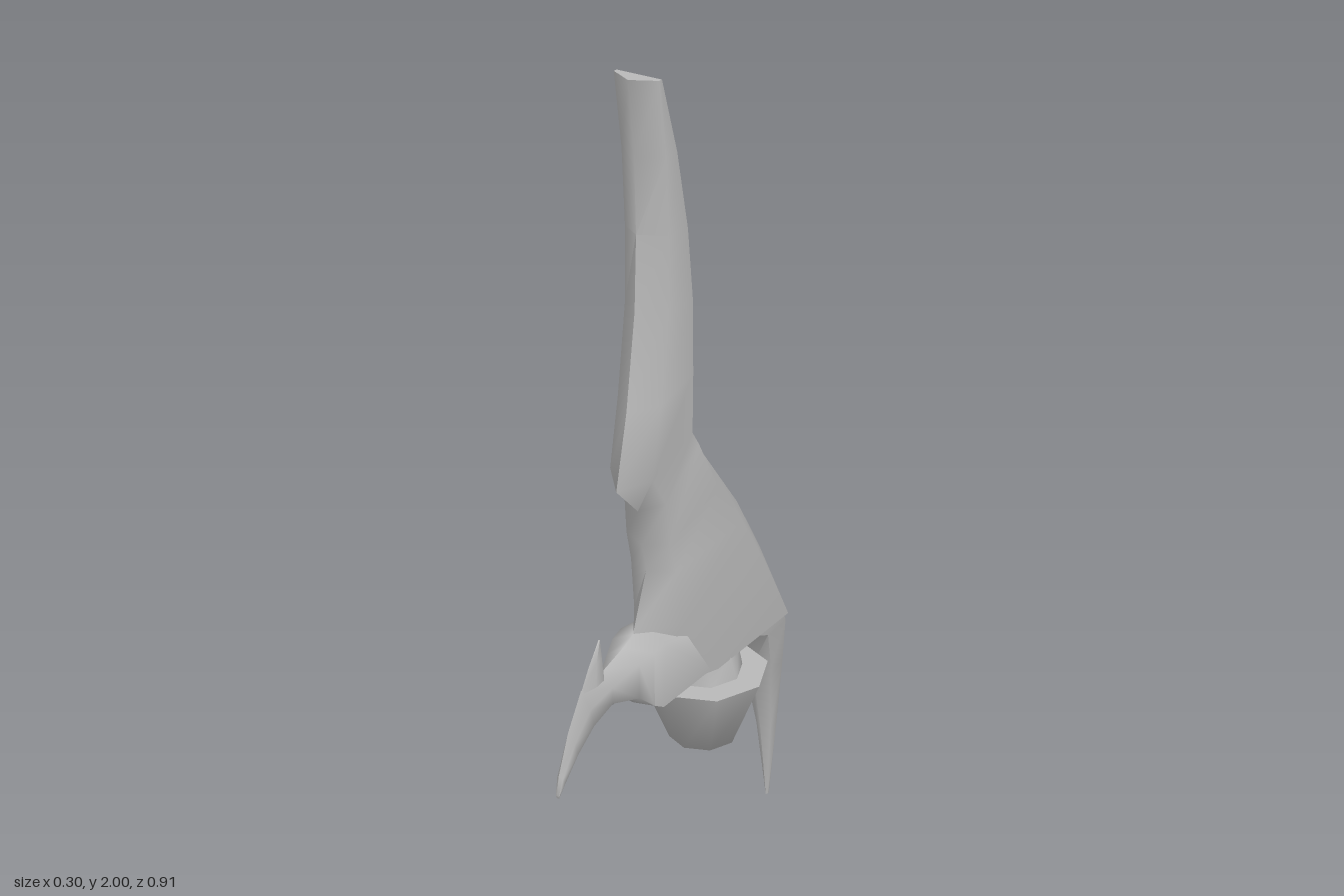
import * as THREE from 'three';
import { toCreasedNormals } from 'three/addons/utils/BufferGeometryUtils.js';

const steel = new THREE.MeshStandardMaterial({ color: 0xb8b8b8 });
steel.name = 'grey metal';

// Smooth shading, with only the sharpest edges kept crisp
function part(name, geometry) {
  const mesh = new THREE.Mesh(toCreasedNormals(geometry, 1.25), steel);
  mesh.name = name;
  return mesh;
}

// Loft of six-sided blade sections.
// Each section: [front z, front y, back z, back y, half width, front bevel, back bevel]
function blade(name, sections) {
  const pos = [], index = [], n = 6;
  for (const [fz, fy, bz, by, w, f, b] of sections) {
    const len = Math.hypot(bz - fz, by - fy);
    const at = (x, d) => pos.push(x, fy + (by - fy) * d / len, fz + (bz - fz) * d / len);
    at(0, 0);
    at(w, f);
    at(w, len - b);
    at(0, len);
    at(-w, len - b);
    at(-w, f);
  }
  const last = (sections.length - 1) * n;
  for (let k = 0; k < last; k += n) {
    for (let j = 0; j < n; j++) {
      const a = k + j, b = k + (j + 1) % n;
      index.push(a, a + n, b, b, a + n, b + n);
    }
  }
  for (let j = 1; j < n - 1; j++) {
    index.push(0, j, j + 1, last, last + j + 1, last + j);
  }
  const g = new THREE.BufferGeometry();
  g.setAttribute('position', new THREE.Float32BufferAttribute(pos, 3));
  g.setIndex(index);
  return part(name, g);
}

export function createModel() {
  const model = new THREE.Group();
  model.name = 'bladedHead';

  // Tall curved horn running down into the broad body
  model.add(blade('hornAndBody', [
    [0.165, 2.00, 0.125, 2.00, 0.055, 0.030, 0],
    [0.145, 1.83, 0.070, 1.83, 0.055, 0.035, 0],
    [0.140, 1.66, 0.030, 1.65, 0.055, 0.040, 0],
    [0.147, 1.49, 0.010, 1.48, 0.055, 0.045, 0],
    [0.180, 1.27, 0.008, 1.31, 0.055, 0.050, 0],
    [0.220, 1.10, 0.010, 1.17, 0.055, 0.060, 0],
    [0.140, 1.02, -0.040, 1.15, 0.055, 0.035, 0.03],
    [0.125, 0.93, -0.150, 1.01, 0.057, 0.025, 0.06],
    [0.110, 0.86, -0.260, 0.87, 0.060, 0.030, 0.07],
    [0.160, 0.73, -0.360, 0.71, 0.066, 0.100, 0.075],
    [0.130, 0.545, -0.447, 0.55, 0.074, 0.200, 0.075],
  ]));

  // Rear spike curving down to the ground
  model.add(blade('rearSpike', [
    [-0.200, 0.560, -0.425, 0.580, 0.066, 0.01, 0.070],
    [-0.280, 0.520, -0.447, 0.530, 0.064, 0.02, 0.070],
    [-0.335, 0.400, -0.455, 0.380, 0.040, 0.02, 0.050],
    [-0.375, 0.210, -0.446, 0.200, 0.020, 0.015, 0.030],
    [-0.406, 0.000, -0.420, 0.000, 0.003, 0.004, 0.005],
  ]));

  // Front beak, rooted inside the body and tapering forward and down
  model.add(blade('beak', [
    [-0.060, 0.720, -0.060, 0.548, 0.068, 0.06, 0.005],
    [0.120, 0.732, 0.130, 0.538, 0.060, 0.03, 0.005],
    [0.160, 0.725, 0.160, 0.550, 0.056, 0.03, 0.010],
    [0.200, 0.710, 0.200, 0.580, 0.043, 0.03, 0.015],
    [0.275, 0.690, 0.270, 0.590, 0.021, 0.04, 0.020],
    [0.360, 0.680, 0.330, 0.565, 0.016, 0.05, 0.020],
    [0.410, 0.600, 0.385, 0.525, 0.012, 0.03, 0.015],
    [0.447, 0.510, 0.430, 0.480, 0.008, 0.01, 0.008],
    [0.455, 0.465, 0.451, 0.455, 0.004, 0.003, 0.003],
  ]));

  // Small barb on top of the beak
  model.add(blade('beakBarb', [
    [0.293, 0.772, 0.288, 0.772, 0.002, 0.002, 0.002],
    [0.330, 0.724, 0.281, 0.730, 0.007, 0.020, 0.010],
    [0.363, 0.670, 0.274, 0.680, 0.014, 0.040, 0.020],
  ]));

  // Octagonal neck, pinched at the top to meet the body
  const neck = new THREE.CylinderGeometry(0.093, 0.093, 0.06, 8);
  const p = neck.attributes.position;
  for (let i = 0; i < p.count; i++) {
    if (p.getY(i) > 0) p.setX(i, p.getX(i) * 0.78);
  }
  const neckMesh = part('socketNeck', neck);
  neckMesh.position.set(0, 0.525, -0.122);
  model.add(neckMesh);

  // Octagonal tapered socket
  const socket = part('socket', new THREE.CylinderGeometry(0.152, 0.08, 0.175, 8));
  socket.position.set(0, 0.4125, -0.122);
  model.add(socket);

  return model;
}
